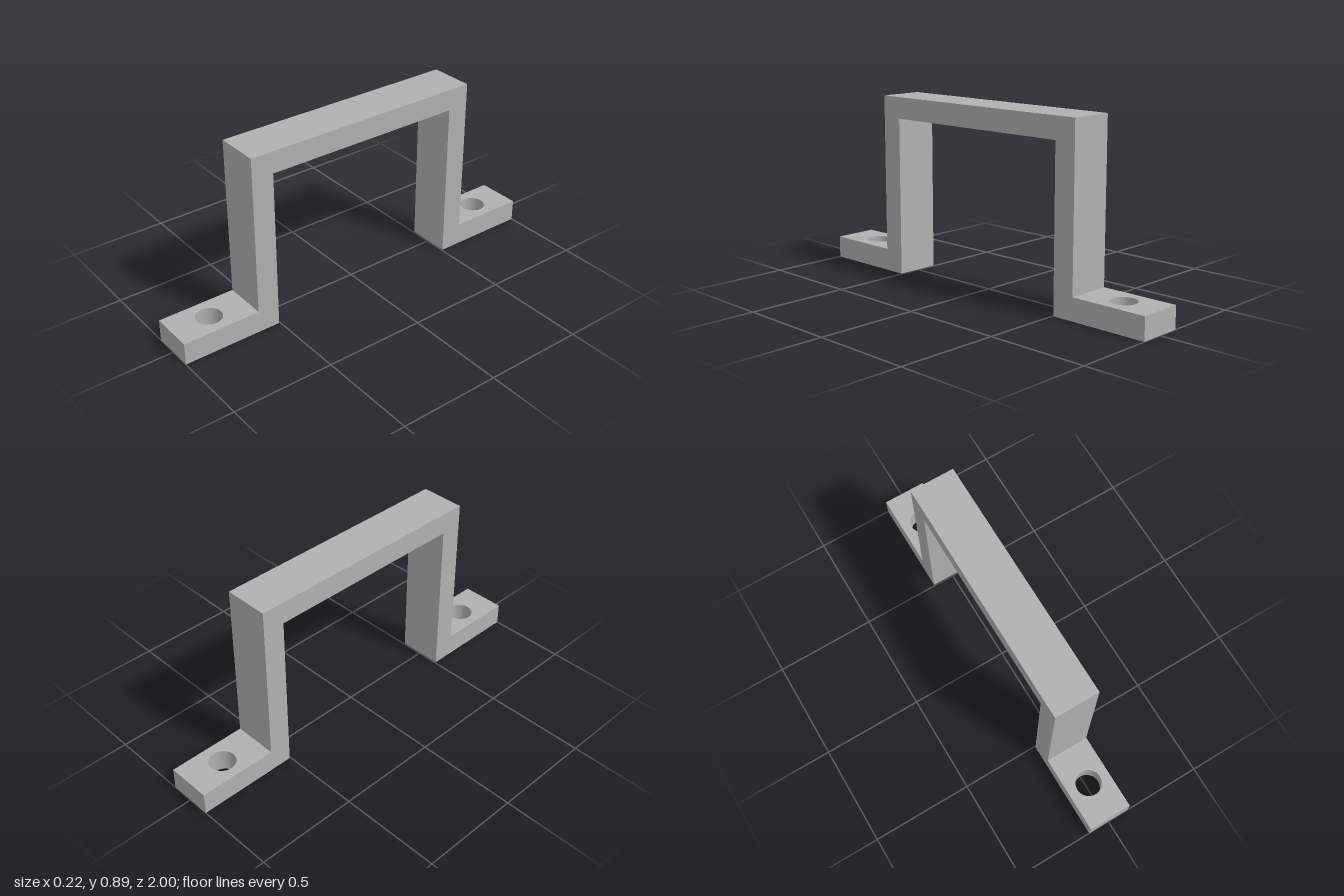
import * as THREE from 'three';
import { toCreasedNormals } from 'three/addons/utils/BufferGeometryUtils.js';

const WIDTH = 0.22, HEIGHT = 0.893, OUTER = 0.613, INNER = 0.505;
const UNDERSIDE = 0.787, FOOT_HEIGHT = 0.11;
const HOLE_Z = 0.807, HOLE_RADIUS = 0.063;

export function createModel() {
  const group = new THREE.Group();
  group.name = 'bracket';
  const metal = new THREE.MeshStandardMaterial({ color: 0xb0b0b0 });
  metal.name = 'grey metal';

  // Square-cornered arch: profile in z and y, extruded across x
  const profile = new THREE.Shape([
    [-OUTER, 0], [-INNER, 0], [-INNER, UNDERSIDE], [INNER, UNDERSIDE],
    [INNER, 0], [OUTER, 0], [OUTER, HEIGHT], [-OUTER, HEIGHT],
  ].map(([z, y]) => new THREE.Vector2(z, y)));
  const archGeometry = new THREE.ExtrudeGeometry(profile, { depth: WIDTH, bevelEnabled: false });
  archGeometry.translate(0, 0, -WIDTH / 2).rotateY(-Math.PI / 2);
  const arch = new THREE.Mesh(archGeometry, metal);
  arch.name = 'arch';
  group.add(arch);

  // Mounting feet with round screw holes
  const plate = new THREE.Shape([
    [-WIDTH / 2, OUTER], [WIDTH / 2, OUTER], [WIDTH / 2, 1], [-WIDTH / 2, 1],
  ].map(([x, z]) => new THREE.Vector2(x, z)));
  plate.holes.push(new THREE.Path().absarc(0, HOLE_Z, HOLE_RADIUS, 0, Math.PI * 2, true));
  const extruded = new THREE.ExtrudeGeometry(plate, {
    depth: FOOT_HEIGHT, bevelEnabled: false, curveSegments: 40,
  });
  extruded.rotateX(Math.PI / 2).translate(0, FOOT_HEIGHT, 0);
  const footGeometry = toCreasedNormals(extruded, 0.5);
  for (const [name, turn] of [['frontFoot', 0], ['backFoot', Math.PI]]) {
    const foot = new THREE.Mesh(footGeometry, metal);
    foot.name = name;
    foot.rotation.y = turn;
    group.add(foot);
  }
  return group;
}
